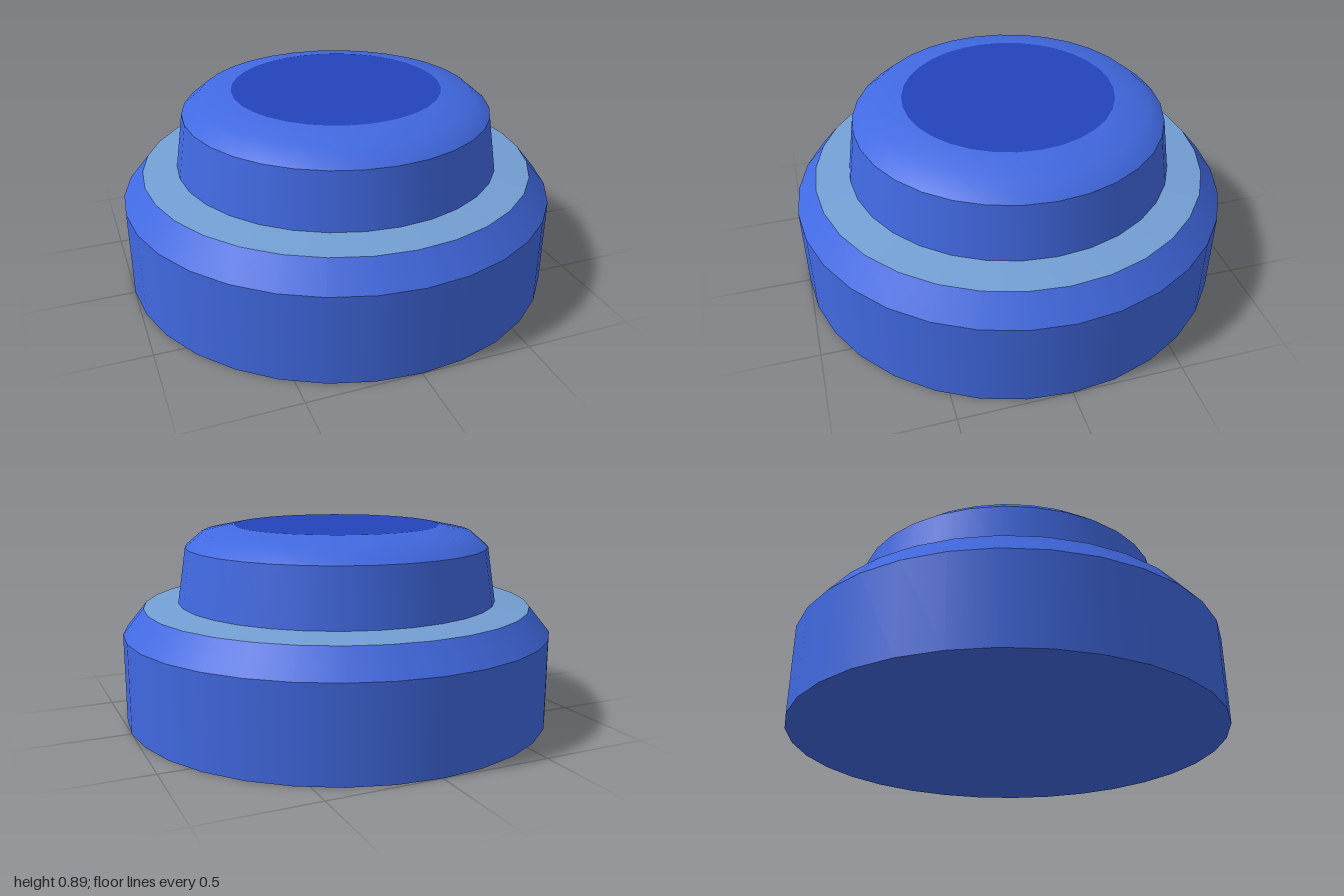
import * as THREE from 'three';

const SIDES = 32;

export function createModel() {
  const group = new THREE.Group();
  group.name = 'pushButton';

  const material = (name, color) => {
    const m = new THREE.MeshStandardMaterial({ color });
    m.name = name;
    return m;
  };
  const blue = material('royal blue', 0x4169e1);
  const paleBlue = material('pale blue', 0x739fd4);
  const deepBlue = material('deep blue', 0x2443bb);

  // One smooth band turned around the y axis, profile from bottom to top
  const band = (name, mat, ...profile) => {
    const points = profile.map(([r, y]) => new THREE.Vector2(r, y));
    const mesh = new THREE.Mesh(new THREE.LatheGeometry(points, SIDES), mat);
    mesh.name = name;
    group.add(mesh);
  };

  // Base: underside, straight wall and bevel, with sharp edges between
  band('baseUnderside', blue, [0, 0], [1, 0]);
  band('baseWall', blue, [1, 0], [1, 0.41]);
  band('baseBevel', blue, [1, 0.41], [0.905, 0.527]);

  // Pale, slightly sloped collar around the button
  band('collar', paleBlue, [0.905, 0.527], [0.747, 0.546]);

  // Tapered button with a rounded shoulder and a flat centre
  band('buttonWall', blue, [0.747, 0.546], [0.708, 0.8]);
  band('buttonShoulder', blue, [0.708, 0.8], [0.63, 0.865], [0.48, 0.895]);
  band('buttonCentre', deepBlue, [0.48, 0.895], [0, 0.895]);

  return group;
}
